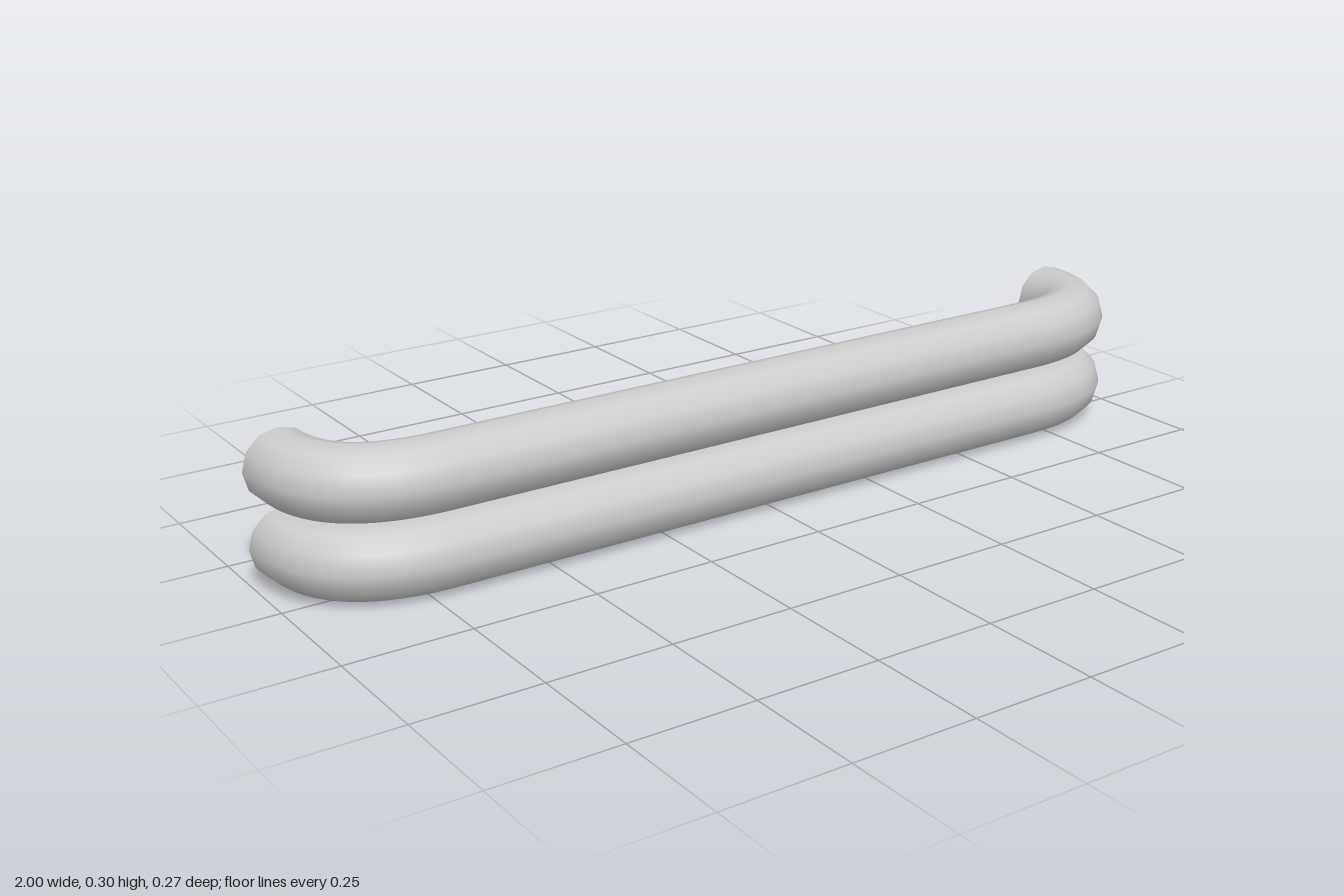
import * as THREE from 'three';

const RADIUS = 0.0727;
const END_X = 0.927, BEND_X = 0.7, BACK_Z = -0.134, FRONT_Z = 0.0615;

// Path of one bar: a straight run whose ends sweep round to the back
function barPath() {
  const v = (x, z) => new THREE.Vector3(x, 0, z);
  const path = new THREE.CurvePath();
  path.add(new THREE.QuadraticBezierCurve3(v(-END_X, BACK_Z), v(-END_X, FRONT_Z), v(-BEND_X, FRONT_Z)));
  path.add(new THREE.LineCurve3(v(-BEND_X, FRONT_Z), v(BEND_X, FRONT_Z)));
  path.add(new THREE.QuadraticBezierCurve3(v(BEND_X, FRONT_Z), v(END_X, FRONT_Z), v(END_X, BACK_Z)));
  return path;
}

export function createModel() {
  const group = new THREE.Group();
  group.name = 'doubleBumperBar';
  // Open-ended tubes, so the inside shows too
  const material = new THREE.MeshStandardMaterial({ color: 0xcccccc, side: THREE.DoubleSide });
  const geometry = new THREE.TubeGeometry(barPath(), 120, RADIUS, 12, false);

  // Two identical bars, one above the other
  for (const [name, y] of [['lowerBar', RADIUS], ['upperBar', 0.2237]]) {
    const bar = new THREE.Mesh(geometry, material);
    bar.name = name;
    bar.position.y = y;
    group.add(bar);
  }
  return group;
}
